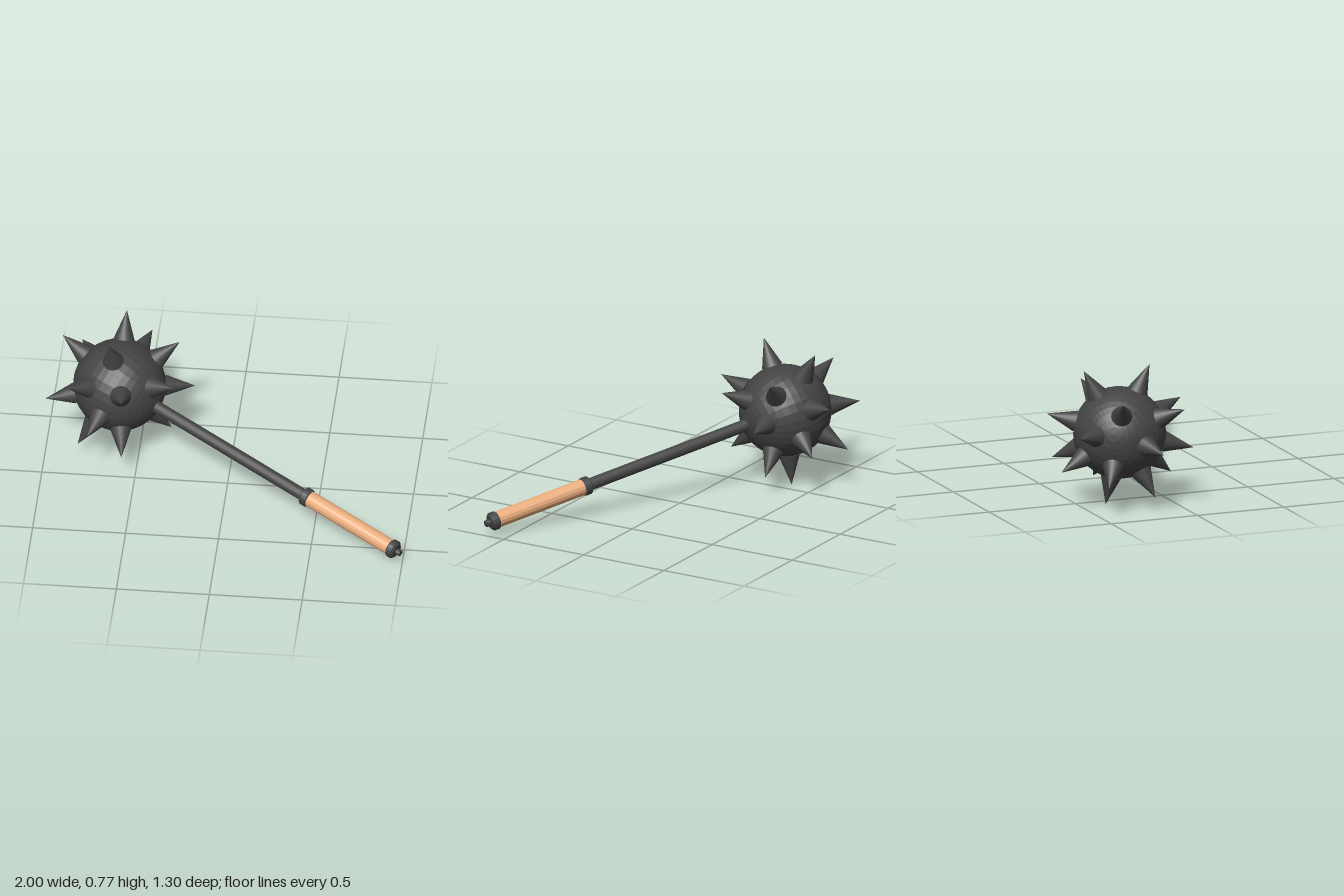
import * as THREE from 'three';

const UP = new THREE.Vector3(0, 1, 0);
const CENTRE = new THREE.Vector3(-0.61, 0.4, -0.29);
const AXIS = new THREE.Vector3(1.605, -0.335, 0.91).normalize();
const BALL_R = 0.249;
const SPIKE_R = 0.057, SPIKE_H = 0.16, SPIKE_BASE = 0.245;

// Directions of the spikes from the centre of the ball
const SPIKES = [
  [-0.04, 0.37, 0.157], [0.02, 0.352, -0.2],
  [0.317, 0.24, -0.096], [-0.315, 0.224, -0.11],
  [-0.25, 0.155, 0.27], [0.306, 0.148, 0.205], [0.045, 0.15, 0.37],
  [0.14, 0.106, -0.363], [-0.232, 0.042, -0.324],
  [0.405, -0.01, -0.045], [-0.385, -0.05, 0.095], [-0.14, -0.085, 0.37],
  [0.217, -0.155, -0.298], [-0.056, -0.175, -0.356],
  [-0.275, -0.232, -0.175], [0.04, -0.249, 0.312],
  [0.274, -0.293, -0.04], [-0.211, -0.318, 0.118], [0.039, -0.395, -0.064],
];

export function createModel() {
  const model = new THREE.Group();
  model.name = 'spikedMace';
  const iron = new THREE.MeshStandardMaterial({ color: 0x444444 });
  const ironFaceted = new THREE.MeshStandardMaterial({ color: 0x444444, flatShading: true });
  const wood = new THREE.MeshStandardMaterial({ color: 0xe8ac7c, flatShading: true });

  const mace = new THREE.Group();
  mace.name = 'mace';
  mace.position.copy(CENTRE);
  model.add(mace);

  const add = (parent, name, geometry, material) => {
    const mesh = new THREE.Mesh(geometry, material);
    mesh.name = name;
    parent.add(mesh);
    return mesh;
  };

  // Head: ball and spikes
  const ball = add(mace, 'ball', new THREE.SphereGeometry(BALL_R, 32, 20), ironFaceted);
  ball.quaternion.setFromUnitVectors(UP, AXIS);

  const spikes = new THREE.Group();
  spikes.name = 'spikes';
  mace.add(spikes);
  const cone = new THREE.ConeGeometry(SPIKE_R, SPIKE_H, 20);
  cone.translate(0, SPIKE_BASE + SPIKE_H / 2, 0);
  for (const d of SPIKES) {
    const spike = add(spikes, 'spike', cone, iron);
    spike.quaternion.setFromUnitVectors(UP, new THREE.Vector3(...d).normalize());
  }

  // Handle: everything along +y of this group, measured from the ball's centre
  const handle = new THREE.Group();
  handle.name = 'handle';
  handle.quaternion.setFromUnitVectors(UP, AXIS);
  mace.add(handle);

  const rod = (name, radius, from, to, sides, material) => {
    const g = new THREE.CylinderGeometry(radius, radius, to - from, sides);
    g.translate(0, (from + to) / 2, 0);
    return add(handle, name, g, material);
  };
  // Ring with softened rims
  const ring = (name, radius, from, to, bevel) => {
    const profile = [
      [0, from], [radius - bevel, from], [radius, from + bevel],
      [radius, to - bevel], [radius - bevel, to], [0, to],
    ].map(([x, y]) => new THREE.Vector2(x, y));
    return add(handle, name, new THREE.LatheGeometry(profile, 20), ironFaceted);
  };

  rod('shaft', 0.033, 0.2, 1.26, 16, iron);
  ring('guardRing', 0.05, 1.225, 1.268, 0.006);
  rod('grip', 0.044, 1.26, 1.81, 16, wood);
  ring('pommel', 0.05, 1.795, 1.845, 0.012);
  rod('pommelStud', 0.018, 1.84, 1.872, 8, ironFaceted);

  return model;
}
